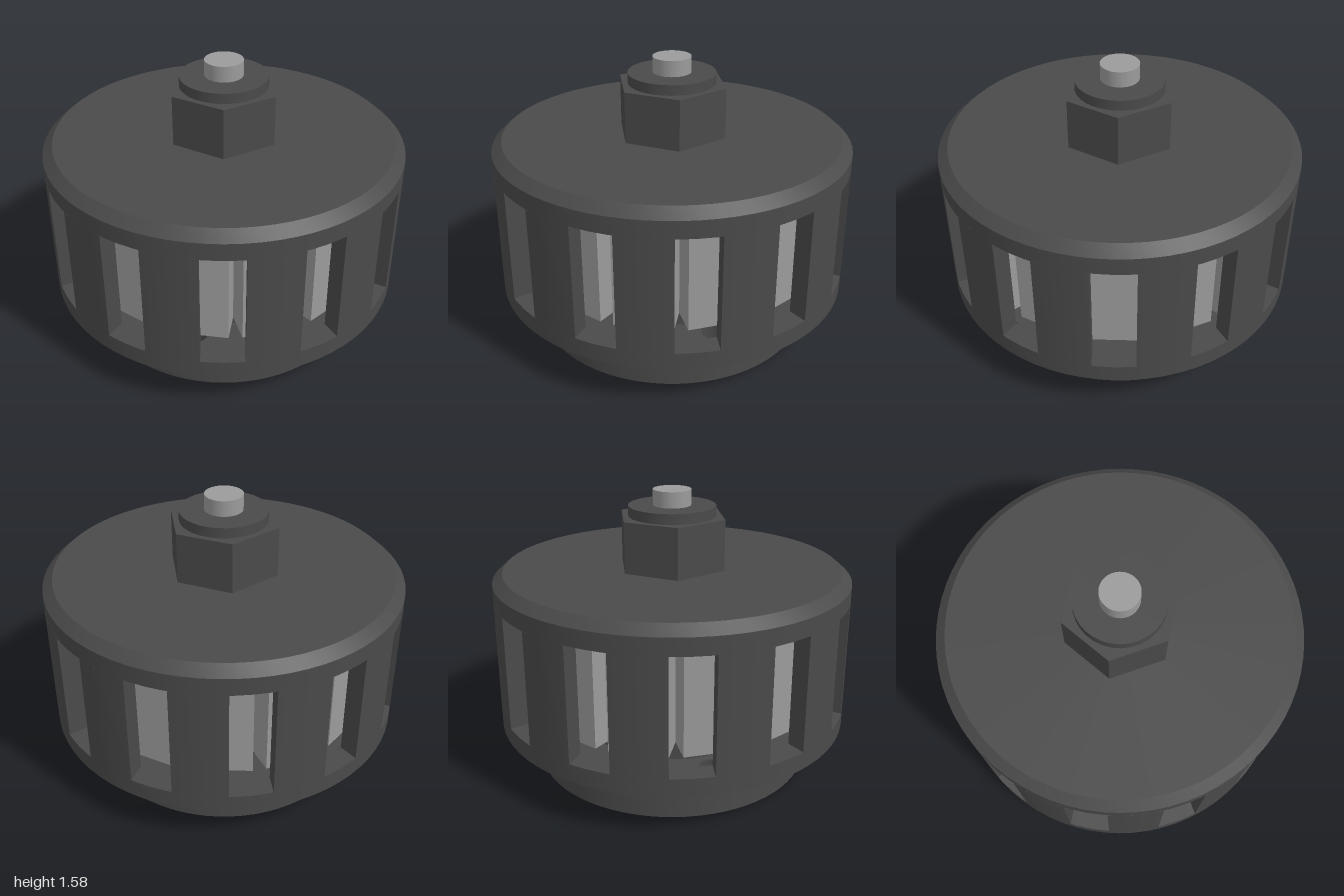
import * as THREE from 'three';
import { toCreasedNormals } from 'three/addons/utils/BufferGeometryUtils.js';

const darkMetal = new THREE.MeshStandardMaterial({ color: 0x4a4a4a });
darkMetal.name = 'dark metal';
const lightSteel = new THREE.MeshStandardMaterial({ color: 0x9b9b9b });
lightSteel.name = 'light steel';

const SEGMENTS = 72;

function addMesh(parent, name, geometry, material) {
  const mesh = new THREE.Mesh(toCreasedNormals(geometry, 0.5), material);
  mesh.name = name;
  parent.add(mesh);
  return mesh;
}

// Solid of revolution from [radius, height] points, bottom to top on the outside
function turned(points, segments = SEGMENTS) {
  return new THREE.LatheGeometry(points.map(([r, y]) => new THREE.Vector2(r, y)), segments);
}

function disc(radius, bottom, top, sides = SEGMENTS) {
  return new THREE.CylinderGeometry(radius, radius, top - bottom, sides).translate(0, (top + bottom) / 2, 0);
}

// Extrude a plan shape upward between two heights
function upright(shape, bottom, top, curveSegments) {
  return new THREE.ExtrudeGeometry(shape, { depth: top - bottom, bevelEnabled: false, curveSegments })
    .rotateX(-Math.PI / 2).translate(0, bottom, 0);
}

export function createModel() {
  const model = new THREE.Group();
  model.name = 'motor';

  // Base plate with four through holes
  const plate = new THREE.Shape().absarc(0, 0, 0.785, 0, Math.PI * 2);
  for (let i = 0; i < 4; i++) {
    const a = Math.PI / 4 + i * Math.PI / 2;
    plate.holes.push(new THREE.Path().absarc(0.61 * Math.cos(a), 0.61 * Math.sin(a), 0.07, 0, Math.PI * 2, true));
  }
  addMesh(model, 'basePlate', upright(plate, 0, 0.18, 36), darkMetal);
  addMesh(model, 'baseNeck', disc(0.5, 0.18, 0.34), darkMetal);

  // Rotating bell: bottom ring, twelve pillars with windows between, chamfered lid
  const bell = new THREE.Group();
  bell.name = 'bell';
  model.add(bell);
  const outer = 1, inner = 0.89, halfWindow = 0.115;
  addMesh(bell, 'bellRing', turned([
    [inner, 0.26], [outer, 0.26], [outer, 0.36], [inner, 0.36], [inner, 0.26],
  ]), darkMetal);
  addMesh(bell, 'bellLid', turned([
    [0, 1], [outer, 1], [outer, 1.095], [0.943, 1.145], [0, 1.145],
  ]), darkMetal);
  const step = Math.PI / 6;
  const aOut = Math.asin(halfWindow / outer), aIn = Math.asin(halfWindow / inner);
  const pillar = new THREE.Shape();
  pillar.absarc(0, 0, outer, aOut, step - aOut, false);
  pillar.absarc(0, 0, inner, step - aIn, aIn, true);
  pillar.closePath();
  for (let i = 0; i < 12; i++) {
    addMesh(bell, 'bellPillar', upright(pillar, 0.36, 1, 6), darkMetal).rotation.y = i * step;
  }

  // Ring of fourteen stator blocks around the shaft
  const stator = new THREE.Group();
  stator.name = 'stator';
  model.add(stator);
  for (let i = 0; i < 14; i++) {
    const block = new THREE.BoxGeometry(0.45, 0.56, 0.314).translate(0.625, 0.68, 0);
    addMesh(stator, 'statorBlock', block, lightSteel).rotation.y = i * Math.PI / 7;
  }
  addMesh(stator, 'statorCore', disc(0.6, 0.385, 0.95), lightSteel);

  // Shaft, hexagonal nut and washer
  addMesh(model, 'shaft', disc(0.106, 0.3, 1.575, 32), lightSteel);
  addMesh(model, 'hexNut', disc(0.315, 1.145, 1.43, 6).rotateY(Math.PI / 6), darkMetal);
  addMesh(model, 'washer', disc(0.243, 1.43, 1.487, 32), darkMetal);

  return model;
}
